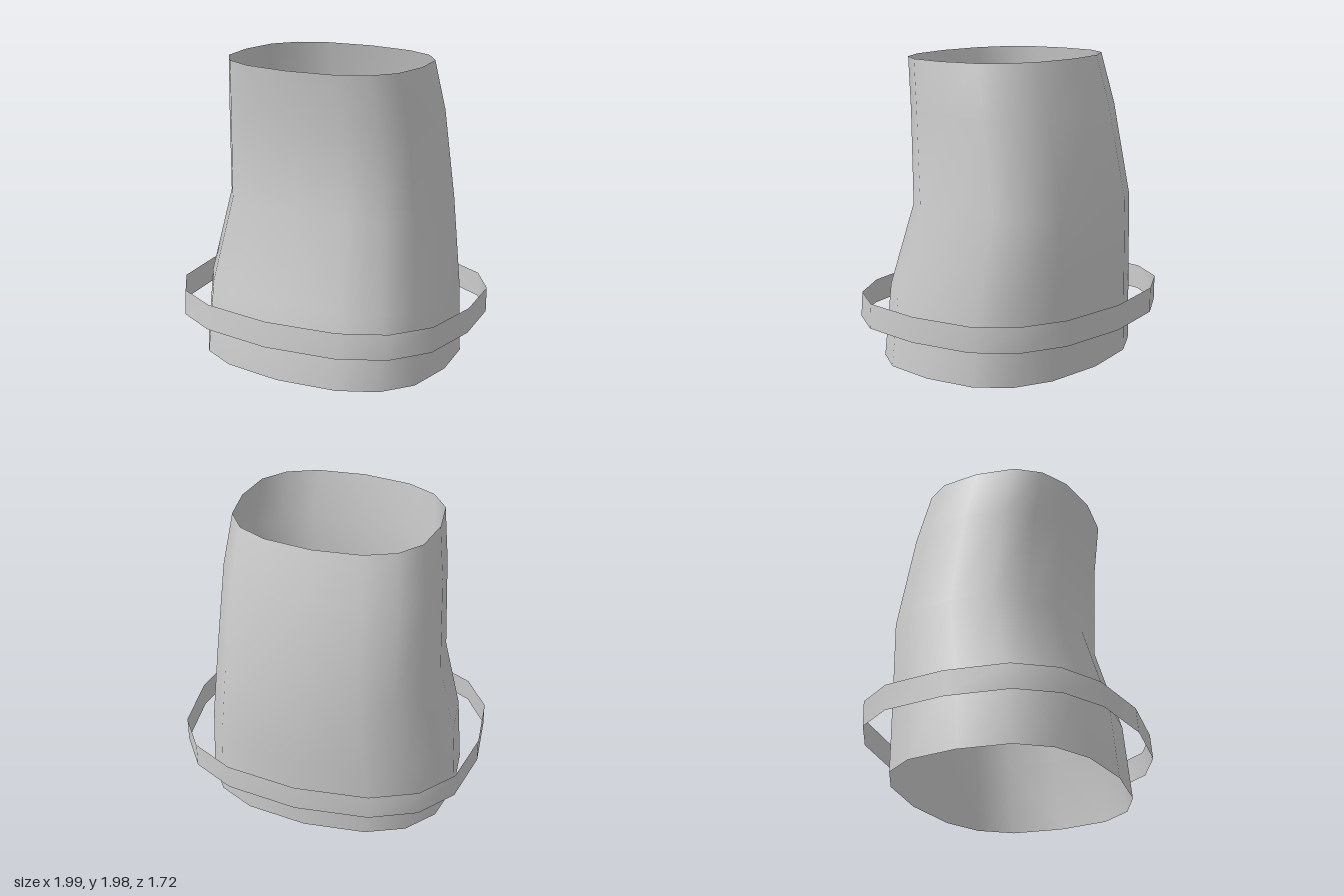
import * as THREE from 'three';

// One quadrant of the rounded cross-section, as fractions of the half-width and half-depth
const QUADRANT = [[0, 1], [0.48, 0.93], [0.77, 0.76], [0.945, 0.475]];

// Full 16-point outline, counter-clockwise seen from above
function outline() {
  const points = [];
  for (let q = 0; q < 4; q++) {
    for (let i = 0; i < 4; i++) {
      const [a, b] = q % 2 ? [QUADRANT[(4 - i) % 4][0], QUADRANT[(4 - i) % 4][1]] : QUADRANT[i];
      const [x, z] = q % 2 && i === 0 ? [1, 0] : [a, b];
      points.push([x * (q < 2 ? 1 : -1), z * (q === 0 || q === 3 ? 1 : -1)]);
    }
  }
  return points;
}

// Open tube through rings of [y, halfWidth, frontZ, backZ]
function openTube(name, rings, material) {
  const shape = outline();
  const n = shape.length;
  const positions = [];
  const index = [];
  rings.forEach(([y, halfWidth, front, back], r) => {
    const centre = (front + back) / 2;
    const halfDepth = (front - back) / 2;
    shape.forEach(([x, z], i) => {
      positions.push(x * halfWidth, y, centre + z * halfDepth);
      if (r === 0) return;
      const j = (i + 1) % n;
      const low = (r - 1) * n;
      const high = r * n;
      index.push(low + i, low + j, high + j, low + i, high + j, high + i);
    });
  });
  const geometry = new THREE.BufferGeometry();
  geometry.setAttribute('position', new THREE.Float32BufferAttribute(positions, 3));
  geometry.setIndex(index);
  geometry.computeVertexNormals();
  const mesh = new THREE.Mesh(geometry, material);
  mesh.name = name;
  return mesh;
}

export function createModel() {
  const grey = new THREE.MeshStandardMaterial({ color: 0xcccccc, side: THREE.DoubleSide });
  grey.name = 'light grey';

  const group = new THREE.Group();
  group.name = 'sleeveWithBand';

  // Bent sleeve, open at both ends
  group.add(openTube('sleeve', [
    [0, 0.847, 0.725, -0.692],
    [0.49, 0.82, 0.675, -0.695],
    [1.04, 0.735, 0.505, -0.712],
    [1.65, 0.7, 0.527, -0.585],
    [1.98, 0.655, 0.57, -0.495],
  ], grey));

  // Loose band around the lower part
  group.add(openTube('band', [
    [0.277, 0.996, 0.862, -0.862],
    [0.442, 0.996, 0.847, -0.862],
  ], grey));

  return group;
}
